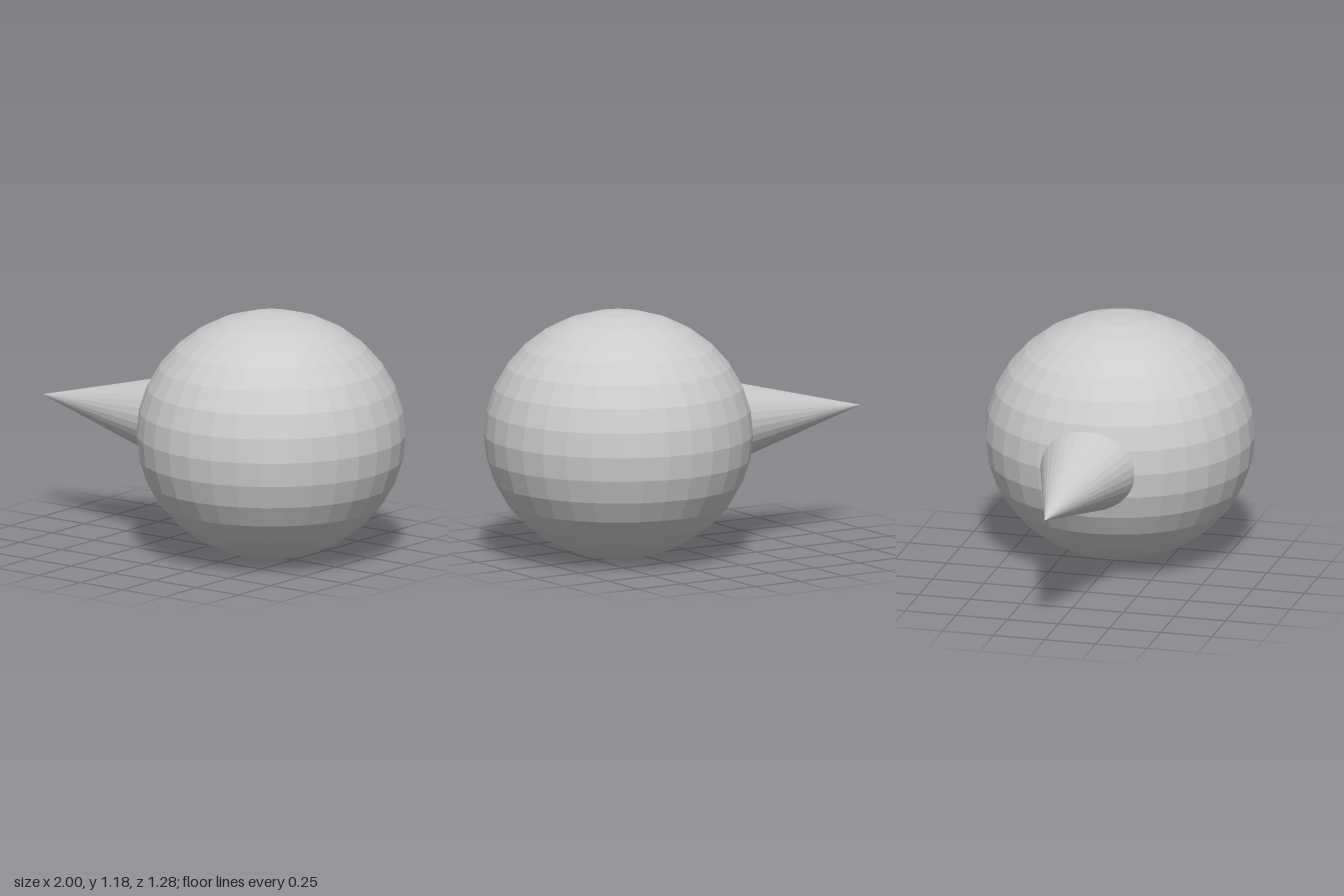
import * as THREE from 'three';

export function createModel() {
  const group = new THREE.Group();
  const material = new THREE.MeshStandardMaterial({ color: 0xcccccc, flatShading: true });
  const centreY = 0.595;

  // Faceted ball, slightly flattened in height
  const ball = new THREE.Mesh(new THREE.SphereGeometry(1, 32, 16), material);
  ball.name = 'ball';
  ball.scale.set(0.635, 0.59, 0.638);
  ball.position.set(0.365, centreY, 0);
  group.add(ball);

  // Oval spike pointing to -x, its base sunk into the ball
  const length = 0.9;
  const cone = new THREE.ConeGeometry(1, 1, 32).rotateZ(Math.PI / 2);
  const spike = new THREE.Mesh(cone, material);
  spike.name = 'spike';
  spike.scale.set(length, 0.2545 * length, 0.297 * length);
  spike.position.set(-1 + length / 2, centreY + 0.002, 0);
  group.add(spike);

  return group;
}
